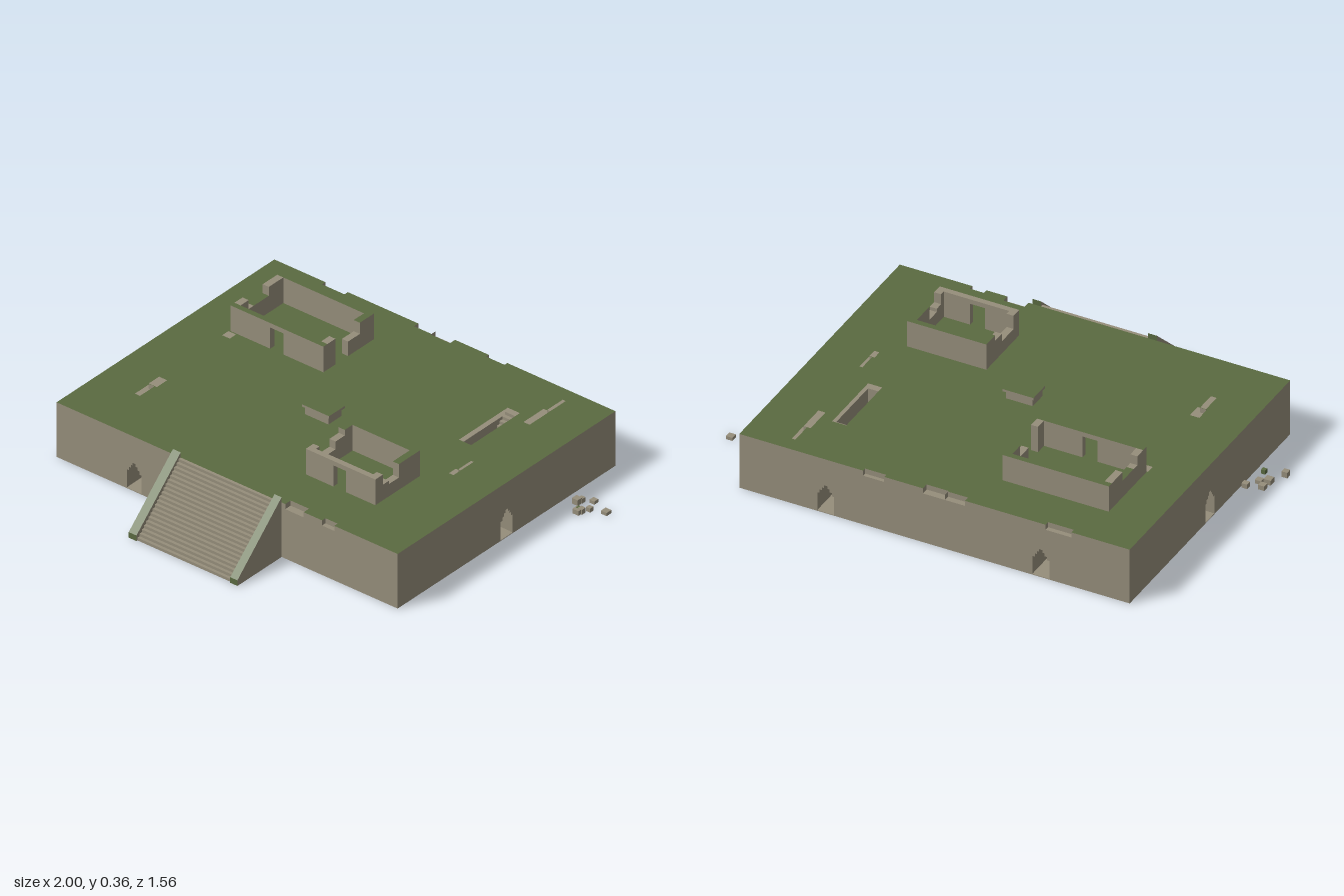
import * as THREE from 'three';

const mat = (name, color) => {
  const m = new THREE.MeshStandardMaterial({ color });
  m.name = name;
  return m;
};

export function createModel() {
  const model = new THREE.Group();
  const stone = mat('stone', 0x968e7b);
  const green = mat('moss green', 0x5a6a40);

  const add = (name, geometry, material, parent = model) => {
    const mesh = new THREE.Mesh(geometry, material);
    mesh.name = name;
    parent.add(mesh);
    return mesh;
  };
  // Box given by its limits; the top face can have its own material
  const box = (name, x0, x1, y0, y1, z0, z1, parent, top = stone, side = stone) => {
    const g = new THREE.BoxGeometry(x1 - x0, y1 - y0, z1 - z0);
    g.translate((x0 + x1) / 2, (y0 + y1) / 2, (z0 + z1) / 2);
    return add(name, g, top === side ? side : [side, side, top, side, side, side], parent);
  };
  const group = (name) => {
    const g = new THREE.Group();
    g.name = name;
    model.add(g);
    return g;
  };
  const vecs = (pts) => pts.map(([x, y]) => new THREE.Vector2(x, y));
  const rectPath = (x0, x1, z0, z1) =>
    new THREE.Path(vecs([[x0, -z0], [x1, -z0], [x1, -z1], [x0, -z1]]));
  const slab = (shape, y0, y1) =>
    new THREE.ExtrudeGeometry(shape, { depth: y1 - y0, bevelEnabled: false })
      .rotateX(-Math.PI / 2).translate(0, y0, 0);

  const X0 = -0.87, X1 = 0.8, Z0 = -0.78, Z1 = 0.515;
  const CEIL = 0.13, CORE = 0.222, TOP = 0.245;
  const WELL = [0.47, 0.53, -0.54, -0.25];

  // Mossy paving with broken edges and shallow pits
  const backChips = [[-0.62, -0.51, 0.02], [-0.165, -0.08, 0.025], [-0.08, 0.015, 0.03], [0.18, 0.27, 0.016]];
  const frontChips = [[0.43, 0.49, 0.02], [0.25, 0.34, 0.032]];
  const outline = [[X0, -Z0]];
  backChips.forEach(([a, b, d]) => outline.push([a, -Z0], [a, -Z0 - d], [b, -Z0 - d], [b, -Z0]));
  outline.push([X1, -Z0], [X1, -Z1]);
  frontChips.forEach(([a, b, d]) => outline.push([b, -Z1], [b, -Z1 + d], [a, -Z1 + d], [a, -Z1]));
  outline.push([X0, -Z1]);
  const paving = new THREE.Shape(vecs(outline));
  const pits = [
    [0.595, 0.61, -0.715, -0.621], [0.58, 0.61, -0.62, -0.5],
    [0.6, 0.612, -0.165, -0.088], [0.59, 0.612, -0.085, -0.045],
    [-0.685, -0.645, 0.13, 0.192], [-0.68, -0.655, 0.194, 0.28],
    [-0.685, -0.648, -0.283, -0.245],
  ];
  [WELL, ...pits].forEach((r) => paving.holes.push(rectPath(...r)));
  add('paving', slab(paving, CORE, TOP), [green, stone]);

  // Thick stone core pierced by the stairwell
  const core = new THREE.Shape(vecs([[X0, -Z0], [X0, -Z1], [X1, -Z1], [X1, -Z0]]));
  core.holes.push(rectPath(...WELL));
  add('platformCore', slab(core, CEIL, CORE), stone);

  // Outer walls with stepped arches
  const ARCH = [[0.036, 0], [0.036, 0.085], [0.026, 0.085], [0.026, 0.1], [0.016, 0.1],
    [0.016, 0.113], [0.007, 0.113], [0.007, 0.125]];
  const archedWall = (from, to, arches) => {
    const pts = [[from, CEIL], [from, 0]];
    arches.forEach((c) => {
      ARCH.forEach(([w, y]) => pts.push([c - w, y]));
      [...ARCH].reverse().forEach(([w, y]) => pts.push([c + w, y]));
    });
    pts.push([to, 0], [to, CEIL]);
    return new THREE.ExtrudeGeometry(new THREE.Shape(vecs(pts)), { depth: 0.012, bevelEnabled: false });
  };
  const AX = -0.49, BZ = -0.133, CX = 0.43, H = 0.04;
  add('frontWall', archedWall(X0, X1, [AX]).translate(0, 0, Z1 - 0.012), stone);
  add('backWall', archedWall(X0, X1, [AX, CX]).translate(0, 0, Z0), stone);
  [X0, X1 - 0.012].forEach((x, i) =>
    add(i ? 'leftWall' : 'rightWall', archedWall(-Z1, -Z0, [-BZ]).rotateY(Math.PI / 2).translate(x, 0, 0), stone));

  // Crossing corridors: floors and side walls
  const corridors = group('corridors');
  const T = 0.003;
  [AX, CX].forEach((c) => {
    box('corridorFloor', c - H, c + H, 0, 0.003, Z0, Z1, corridors);
    [c - H, c + H].forEach((x) =>
      [[Z0 + 0.01, BZ - H], [BZ + H, Z1 - 0.01]].forEach(([a, b]) =>
        box('corridorWall', x - T, x + T, 0, CEIL, a, b, corridors)));
  });
  [[X0, AX - H], [AX + H, CX - H], [CX + H, X1]].forEach(([a, b]) => {
    box('corridorFloor', a, b, 0, 0.003, BZ - H, BZ + H, corridors);
    [BZ - H, BZ + H].forEach((z) =>
      box('corridorWall', Math.max(a, X0 + 0.01), Math.min(b, X1 - 0.01), 0, CEIL, z - T, z + T, corridors));
  });

  // Stair flights running down towards the front
  const flight = (name, n, x0, x1, zTop, zEnd, height) => {
    const g = group(name);
    const run = (zEnd - zTop) / n, rise = height / n;
    for (let i = 0; i < n; i++) {
      const y = height - i * rise;
      box('step', x0, x1, Math.max(0, y - 2 * rise), y, zTop + i * run, zTop + (i + 1) * run, g);
    }
  };
  flight('frontStairs', 20, -0.262, 0.197, Z1, 0.772, TOP);
  flight('innerStairs', 18, WELL[0], WELL[1], WELL[2], WELL[3], TOP - 0.01);
  box('stairwellWall', WELL[1], WELL[1] + 0.006, 0, CEIL, WELL[2], WELL[3]);

  // Sloping balustrades beside the front stairs
  [[-0.3, -0.262], [0.197, 0.232]].forEach(([x0, x1]) => {
    const profile = new THREE.Shape(vecs([[-0.778, 0], [-Z1, 0], [-Z1, 0.268], [-0.778, 0.025]]));
    add('balustrade', new THREE.ExtrudeGeometry(profile, { depth: x1 - x0, bevelEnabled: false })
      .rotateY(Math.PI / 2).translate(x0, 0, 0), [stone, green]);
  });

  // Ruined roofless rooms: whole back wall, front wall with a door, broken side walls
  const ROOF = 0.36;
  const room = (name, [x0, x1, z0, z1], [d0, d1], frontTop, right, left) => {
    const g = group(name), t = 0.024;
    box('backWall', x0, x1, TOP, ROOF, z0, z0 + t, g, green);
    box('frontWall', x0, d0, TOP, ROOF, z1 - t, z1, g, frontTop);
    box('frontWall', d1, x1, TOP, ROOF, z1 - t, z1, g, frontTop);
    box('doorLintel', d0, d1, 0.34, ROOF, z1 - t, z1, g, frontTop);
    const side = (a, b, pieces) => pieces.forEach(([p, q, y, top]) =>
      box('sideWall', a, b, TOP, y, p, q, g, top));
    side(x0, x0 + t + 0.006, right);
    side(x1 - t - 0.006, x1, left);
  };
  room('rearRoom', [-0.68, -0.225, -0.59, -0.288], [-0.485, -0.42], green,
    [[-0.566, -0.48, ROOF, stone], [-0.48, -0.39, 0.32, green], [-0.39, -0.36, 0.32, stone], [-0.36, -0.312, ROOF, stone]],
    [[-0.566, -0.505, ROOF, green], [-0.505, -0.435, 0.31, stone], [-0.36, -0.312, ROOF, stone]]);
  room('frontRoom', [0.178, 0.518, 0.04, 0.305], [0.312, 0.375], stone,
    [[0.064, 0.11, ROOF, green], [0.11, 0.165, 0.335, stone], [0.165, 0.26, 0.3, stone], [0.26, 0.281, ROOF, stone]],
    [[0.064, 0.165, ROOF, green], [0.165, 0.225, 0.3, stone], [0.225, 0.26, 0.315, stone], [0.26, 0.281, ROOF, stone]]);

  // Small altar with an overhanging lid
  const altar = group('altar');
  box('altarBase', -0.092, 0.022, TOP, 0.28, -0.095, -0.018, altar);
  box('altarLid', -0.1, 0.032, 0.28, 0.29, -0.105, -0.01, altar, green);

  // Fallen blocks on both sides: x, z, width, height
  const rubble = group('rubble');
  [[0.855, -0.485, 0.028, 0.025], [0.9, -0.53, 0.024, 0.014], [0.925, -0.475, 0.02, 0.018], [0.985, -0.5, 0.028, 0.014],
    [0.9, -0.435, 0.03, 0.02], [0.862, -0.505, 0.02, 0.02], [0.91, -0.445, 0.022, 0.022],
    [-0.988, 0.257, 0.024, 0.025], [-0.95, 0.142, 0.026, 0.02], [-0.953, 0.187, 0.03, 0.022],
    [-0.92, 0.172, 0.026, 0.016], [-0.888, 0.122, 0.024, 0.02]].forEach(([x, z, w, h]) =>
    box('fallenBlock', x - w / 2, x + w / 2, 0, h, z - w / 2, z + w / 2, rubble));
  box('mossyBlock', -0.915, -0.897, 0, 0.018, 0.228, 0.246, rubble, green, green);
  box('mossyBlock', 0.89, 0.91, 0, 0.021, -0.453, -0.435, rubble, green, green);

  return model;
}
